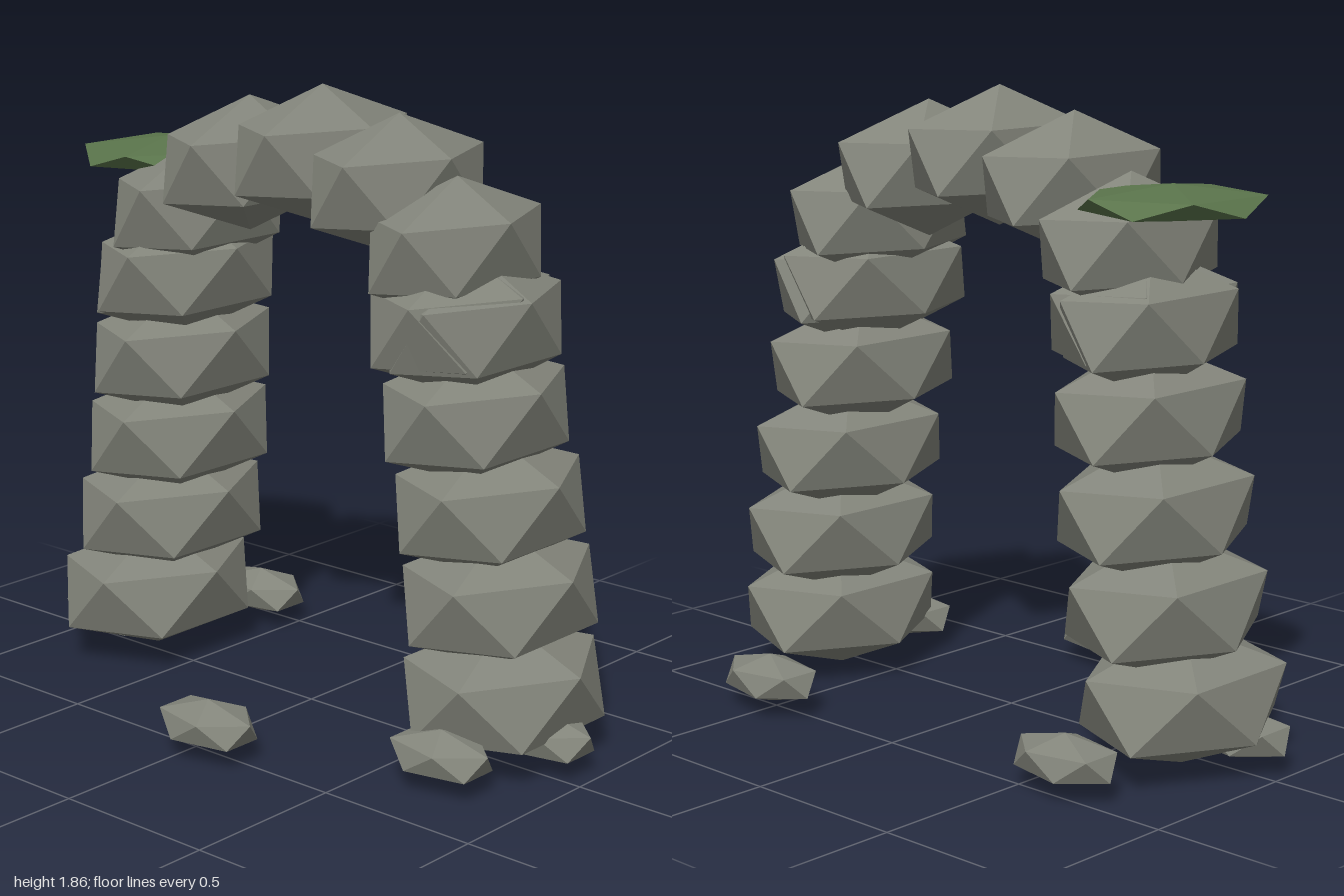
import * as THREE from 'three';

export function createModel() {
  const group = new THREE.Group();
  const stone = new THREE.MeshStandardMaterial({ color: 0x83857b, flatShading: true });
  stone.name = 'grey stone';
  const moss = new THREE.MeshStandardMaterial({ color: 0x5a744b, flatShading: true });
  moss.name = 'green moss';

  // Twenty-sided rock standing on a point, with an upper ring corner facing +x
  const rock = new THREE.IcosahedronGeometry(1, 0);
  rock.rotateX(-Math.atan((1 + Math.sqrt(5)) / 2));
  rock.rotateY(Math.PI / 2);

  function addRock(name, material, position, radii) {
    const mesh = new THREE.Mesh(rock, material);
    mesh.name = name;
    mesh.position.set(...position);
    mesh.scale.set(...radii);
    group.add(mesh);
  }

  const midX = -0.01;

  // Two leaning pillars, each of five stones that get narrower upward
  const pillarZ = [-0.055, -0.083, -0.083, -0.062, -0.042];
  for (const [side, name] of [[1, 'leftPillarStone'], [-1, 'rightPillarStone']]) {
    pillarZ.forEach((z, i) => {
      addRock(name + (i + 1), stone,
        [midX + side * (0.7 - 0.041 * i), 0.205 + 0.262 * i, z],
        [0.294 - 0.015 * i, 0.202, 0.372]);
    });
  }

  // Seven stones spanning the arch
  for (let i = 0; i < 7; i++) {
    const a = Math.PI * (i / 6 - 0.5);
    addRock('archStone' + (i + 1), stone,
      [midX + 0.575 * Math.sin(a), 1.24 + 0.423 * Math.cos(a), -0.06],
      [0.21, 0.202, 0.364]);
  }

  // Flat moss patch on the right shoulder of the arch
  addRock('mossPatch', moss, [-0.705, 1.588, -0.12], [0.278, 0.051, 0.298]);

  // Loose rubble around the base
  const rubble = [
    [0.065, 0.515], [0.5, -0.522], [-0.63, -0.455],
    [0.705, 0.25], [0.83, -0.055], [-0.835, 0.04],
  ];
  rubble.forEach(([x, z], i) => {
    addRock('rubble' + (i + 1), stone, [x, 0.097, z], [0.183, 0.073, 0.121]);
  });

  return group;
}
